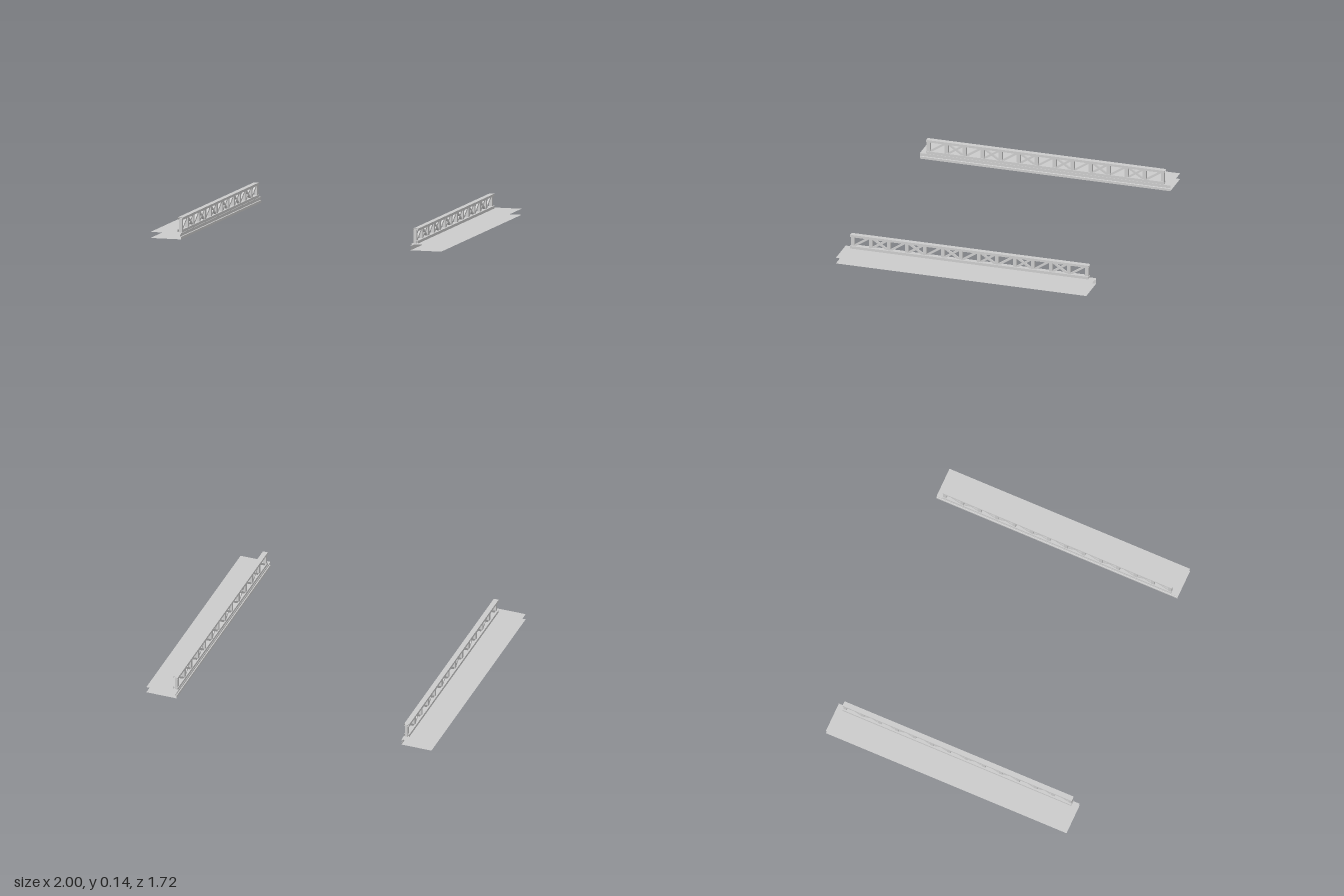
import * as THREE from 'three';

const material = new THREE.MeshStandardMaterial({
  color: 0xcccccc,
  flatShading: true,
  side: THREE.DoubleSide,
});

function addMesh(group, name, geometry) {
  const mesh = new THREE.Mesh(geometry, material);
  mesh.name = name;
  group.add(mesh);
  return mesh;
}

// Sweep an outline of [x, y] points along z, leaving both ends open
function addSweep(group, name, side, outline, length) {
  const h = length * 0.5;
  const positions = [];
  const indices = [];
  outline.forEach((p, i) => {
    positions.push(p[0] * side, p[1], -h);
    positions.push(p[0] * side, p[1], h);
    if (i > 0) {
      const a = 2 * i - 2;
      indices.push(a, a + 2, a + 3);
      indices.push(a, a + 3, a + 1);
    }
  });
  const geometry = new THREE.BufferGeometry();
  geometry.setAttribute('position', new THREE.Float32BufferAttribute(positions, 3));
  geometry.setIndex(indices);
  const flat = geometry.toNonIndexed();
  flat.computeVertexNormals();
  addMesh(group, name, flat);
}

function addChord(group, name, side, y0, y1) {
  const x0 = 0.793;
  const x1 = 0.827;
  addSweep(group, name, side, [[x0, y0], [x1, y0], [x1, y1], [x0, y1], [x0, y0]], 1.64);
}

function createSide(side) {
  const group = new THREE.Group();
  group.name = side === 1 ? 'leftWalkway' : 'rightWalkway';

  // Deck: two thin sheets joined by a grooved inner edge, open on the outside
  const deckOutline = [
    [1, 0.04], [0.79, 0.04], [0.79, 0.033], [0.796, 0.031],
    [0.796, 0.018], [0.79, 0.016], [0.79, 0], [1, 0],
  ];
  addSweep(group, 'deck', side, deckOutline, 1.724);

  // Railing chords
  addChord(group, 'bottomChord', side, 0.04, 0.058);
  addChord(group, 'topChord', side, 0.122, 0.138);

  // Posts
  const x = 0.807 * side;
  const first = 0.806;
  const step = 0.124;
  for (let i = 0; i < 14; i++) {
    const post = addMesh(group, 'post', new THREE.BoxGeometry(0.02, 0.09, 0.024));
    post.position.set(x, 0.085, first - i * step);
  }

  // One brace in every panel, a crossed pair in every second one
  const run = 0.104;
  const rise = 0.068;
  const braceLength = Math.hypot(run, rise);
  const braceAngle = Math.atan2(rise, run);
  for (let i = 0; i < 13; i++) {
    const directions = i % 2 === 1 ? [1, -1] : [1];
    directions.forEach((direction) => {
      const brace = addMesh(group, 'brace', new THREE.BoxGeometry(0.012, 0.013, braceLength));
      brace.position.set(x, 0.09, first - (i + 0.5) * step);
      brace.rotation.x = direction * braceAngle;
    });
  }
  return group;
}

export function createModel() {
  const model = new THREE.Group();
  model.name = 'bridgeSides';
  model.add(createSide(1));
  model.add(createSide(-1));
  return model;
}
